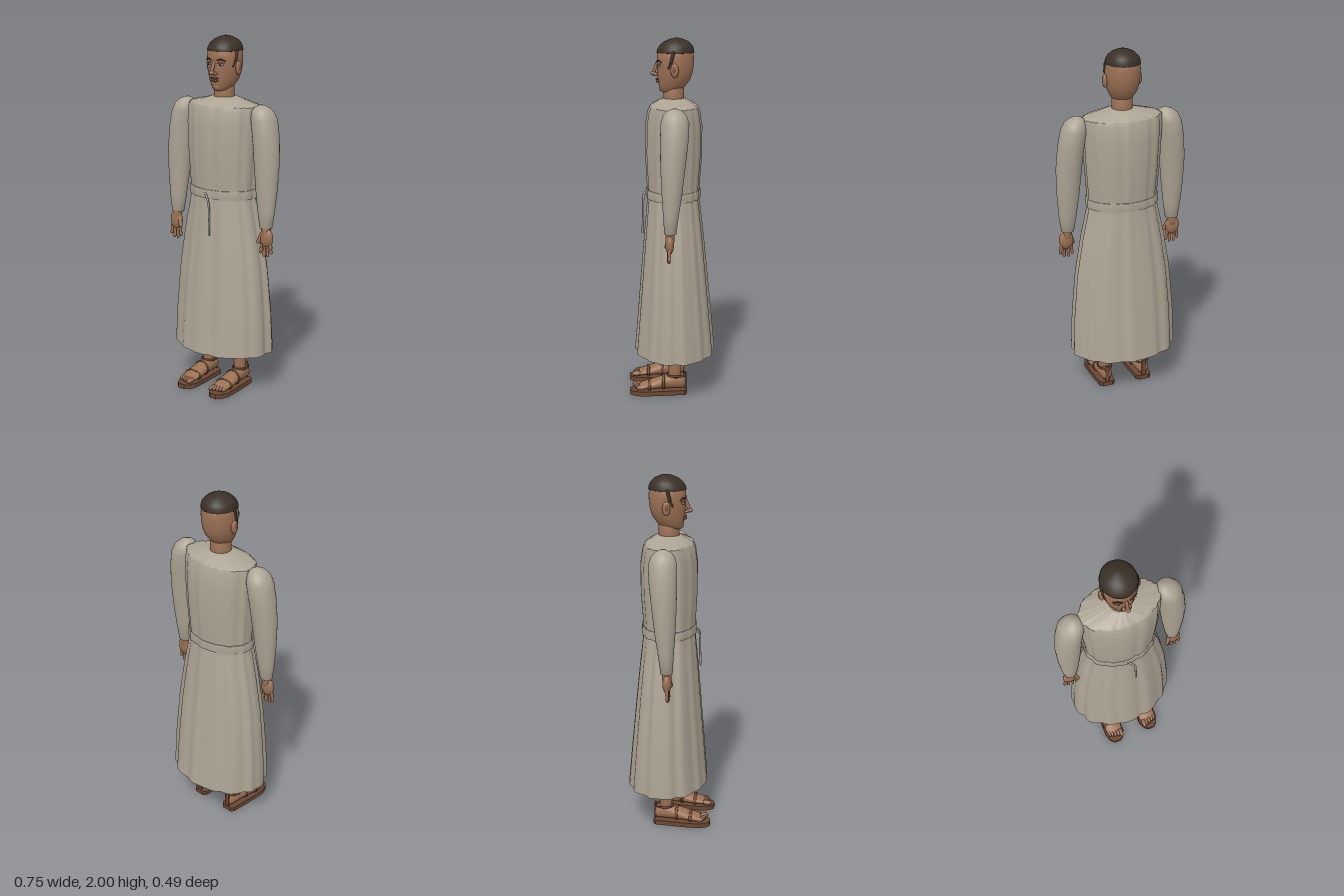
import * as THREE from 'three';

const mat = (name, color, side = THREE.FrontSide) => {
  const m = new THREE.MeshStandardMaterial({ color, side });
  m.name = name;
  return m;
};

// Surface through oval rings [y, halfWidth, zBack, zFront], with optional fold rule and end caps
function loft(rings, { seg = 32, fold = () => 1, caps = true, xs = null } = {}) {
  const pos = [], idx = [];
  rings.forEach(([y, hx, zb, zf], r) => {
    for (let i = 0; i < seg; i++) {
      const t = (i / seg) * Math.PI * 2, k = fold(t, r);
      pos.push((xs ? xs[r] : 0) + Math.sin(t) * hx * k, y, (zb + zf) / 2 + Math.cos(t) * (zf - zb) / 2 * k);
    }
  });
  for (let r = 0; r < rings.length - 1; r++) for (let i = 0; i < seg; i++) {
    const a = r * seg + i, b = r * seg + (i + 1) % seg;
    idx.push(a, b, a + seg, b, b + seg, a + seg);
  }
  if (caps) [0, rings.length - 1].forEach((r) => {
    const [y, , zb, zf] = rings[r], c = pos.length / 3;
    pos.push(xs ? xs[r] : 0, y, (zb + zf) / 2);
    for (let i = 0; i < seg; i++) {
      const a = r * seg + i, b = r * seg + (i + 1) % seg;
      idx.push(c, ...(r ? [a, b] : [b, a]));
    }
  });
  const g = new THREE.BufferGeometry();
  g.setAttribute('position', new THREE.Float32BufferAttribute(pos, 3));
  g.setIndex(idx);
  g.computeVertexNormals();
  return g;
}

function add(parent, name, geo, material, p = [0, 0, 0], s = [1, 1, 1]) {
  const m = new THREE.Mesh(geo, material);
  m.name = name;
  m.position.set(...p);
  m.scale.set(...s);
  parent.add(m);
  return m;
}

const ball = new THREE.SphereGeometry(1, 20, 14);
const blob = (parent, name, material, p, s) => add(parent, name, ball, material, p, s);

// Rounded bar between two points
function rod(parent, name, material, a, b, r) {
  const A = new THREE.Vector3(...a), B = new THREE.Vector3(...b), d = B.clone().sub(A);
  const m = add(parent, name, new THREE.CapsuleGeometry(r, d.length(), 4, 10), material);
  m.position.copy(A.add(B).multiplyScalar(0.5));
  m.quaternion.setFromUnitVectors(new THREE.Vector3(0, 1, 0), d.normalize());
  return m;
}

export function createModel() {
  const model = new THREE.Group();
  model.name = 'robedFigure';
  const cloth = mat('robe cloth', 0xada494, THREE.DoubleSide);
  const skin = mat('skin', 0x9c7054);
  const hair = mat('hair', 0x3a3027, THREE.DoubleSide);
  const leather = mat('sandal leather', 0x6a4733);
  const lip = mat('lips', 0x7c4c3d);
  const white = mat('eye white', 0xd8d0c4);
  const dark = mat('iris', 0x241a14);

  // Robe: uneven vertical folds that flatten slightly at the waist
  const folds = (t, amp) => 1 + amp * (0.6 * Math.cos(14 * t + 0.6) + 0.4 * Math.cos(9 * t + 2) + 0.25 * Math.sin(23 * t));
  add(model, 'robe', loft([
    [0.23, 0.302, -0.238, 0.21], [0.45, 0.295, -0.218, 0.192], [0.72, 0.272, -0.192, 0.17],
    [0.94, 0.235, -0.17, 0.152], [1.1, 0.201, -0.152, 0.138], [1.15, 0.197, -0.148, 0.135],
    [1.2, 0.2, -0.152, 0.14], [1.36, 0.212, -0.163, 0.148], [1.52, 0.22, -0.164, 0.147],
    [1.6, 0.223, -0.152, 0.135], [1.63, 0.22, -0.14, 0.122],
  ], { seg: 120, caps: false, fold: (t, r) => folds(t, r < 4 ? 0.03 : 0.022) }), cloth);

  // Pleated yoke over the shoulders up to the neck
  add(model, 'yoke', loft([
    [1.628, 0.221, -0.141, 0.123], [1.638, 0.205, -0.132, 0.113], [1.655, 0.13, -0.105, 0.085],
    [1.67, 0.075, -0.08, 0.062], [1.672, 0.056, -0.066, 0.05],
  ], { seg: 120, caps: false, fold: (t, r) => folds(t, 0.022) + 0.012 * Math.cos(28 * t) }), cloth);

  // Belt with its hanging cord
  add(model, 'belt', loft([
    [1.12, 0.2, -0.152, 0.138], [1.121, 0.206, -0.157, 0.144],
    [1.169, 0.206, -0.157, 0.144], [1.17, 0.199, -0.152, 0.138],
  ], { seg: 120, caps: false, fold: (t) => folds(t, 0.02) }), cloth);
  const cord = new THREE.CatmullRomCurve3([
    [-0.015, 1.15, 0.142], [0.005, 1.135, 0.158], [0.022, 1.1, 0.162], [0.027, 1.02, 0.163], [0.028, 0.92, 0.167],
  ].map((p) => new THREE.Vector3(...p)));
  add(model, 'beltCord', new THREE.TubeGeometry(cord, 24, 0.006, 8), cloth);

  // Neck and head
  add(model, 'neck', loft([[1.58, 0.062, -0.07, 0.055], [1.68, 0.056, -0.065, 0.048], [1.79, 0.056, -0.065, 0.048]]), skin);
  add(model, 'head', loft([
    [1.703, 0.02, 0.01, 0.05], [1.712, 0.044, -0.04, 0.064], [1.735, 0.062, -0.07, 0.071],
    [1.77, 0.08, -0.097, 0.077], [1.81, 0.09, -0.112, 0.081], [1.85, 0.095, -0.118, 0.083],
    [1.89, 0.096, -0.119, 0.083], [1.925, 0.092, -0.116, 0.08], [1.96, 0.075, -0.1, 0.058], [1.985, 0.03, -0.05, 0.01],
  ], { seg: 40 }), skin);
  add(model, 'hairCap', loft([
    [1.92, 0.093, -0.117, 0.081], [1.921, 0.096, -0.121, 0.085], [1.94, 0.093, -0.119, 0.08],
    [1.96, 0.083, -0.11, 0.067], [1.98, 0.062, -0.089, 0.043], [1.993, 0.036, -0.062, 0.014], [2, 0.008, -0.034, -0.018],
  ], { seg: 40 }), hair);
  rod(model, 'noseBridge', skin, [0, 1.868, 0.08], [0, 1.818, 0.1], 0.009);
  blob(model, 'noseTip', skin, [0, 1.808, 0.101], [0.015, 0.013, 0.018]);
  blob(model, 'upperLip', lip, [0, 1.777, 0.078], [0.028, 0.006, 0.012]);
  blob(model, 'lowerLip', lip, [0, 1.764, 0.077], [0.025, 0.007, 0.012]);
  blob(model, 'chin', skin, [0, 1.727, 0.056], [0.026, 0.018, 0.016]);

  for (const s of [-1, 1]) {
    // Facial features and ears
    blob(model, 'nostril', skin, [s * 0.016, 1.804, 0.09], [0.011, 0.009, 0.012]);
    blob(model, 'eye', white, [s * 0.04, 1.852, 0.072], [0.017, 0.006, 0.007]);
    blob(model, 'iris', dark, [s * 0.04, 1.852, 0.077], [0.006, 0.006, 0.004]);
    rod(model, 'upperEyelid', skin, [s * 0.024, 1.859, 0.078], [s * 0.056, 1.859, 0.068], 0.004);
    rod(model, 'eyebrow', hair, [s * 0.022, 1.874, 0.081], [s * 0.042, 1.881, 0.075], 0.004);
    rod(model, 'eyebrow', hair, [s * 0.042, 1.881, 0.075], [s * 0.062, 1.872, 0.064], 0.004);
    blob(model, 'ear', skin, [s * 0.098, 1.83, -0.01], [0.013, 0.038, 0.022]);
    blob(model, 'earHollow', lip, [s * 0.106, 1.834, -0.007], [0.006, 0.022, 0.011]);
    rod(model, 'sideburn', hair, [s * 0.091, 1.925, -0.004], [s * 0.091, 1.875, 0.008], 0.009);
    rod(model, 'sideburn', hair, [s * 0.091, 1.875, 0.008], [s * 0.084, 1.842, 0.022], 0.006);

    // Sleeve
    add(model, 'sleeve', loft([
      [0.98, 0.036, -0.01, 0.055], [1.07, 0.05, -0.022, 0.06], [1.2, 0.063, -0.042, 0.069], [1.35, 0.072, -0.06, 0.075],
      [1.48, 0.073, -0.075, 0.075], [1.57, 0.071, -0.08, 0.073], [1.61, 0.06, -0.066, 0.06],
      [1.632, 0.042, -0.045, 0.04], [1.645, 0.015, -0.02, 0.012],
    ], { xs: [0.31, 0.309, 0.306, 0.301, 0.289, 0.274, 0.265, 0.258, 0.253].map((x) => x * s) }), cloth);

    // Hand
    const hand = new THREE.Group();
    hand.name = s > 0 ? 'leftHand' : 'rightHand';
    model.add(hand);
    rod(hand, 'wrist', skin, [s * 0.31, 1.02, 0.023], [s * 0.313, 0.95, 0.024], 0.026);
    blob(hand, 'palm', skin, [s * 0.318, 0.925, 0.026], [0.041, 0.055, 0.024]);
    [[0.292, 0.283, 0.84], [0.31, 0.305, 0.825], [0.328, 0.33, 0.827], [0.344, 0.352, 0.845]].forEach(([x0, x1, y]) => {
      rod(hand, 'finger', skin, [s * x0, 0.9, 0.027], [s * (x0 + x1) / 2, 0.872, 0.03], 0.01);
      rod(hand, 'fingerTip', skin, [s * (x0 + x1) / 2, 0.872, 0.03], [s * x1, y, 0.031], 0.0085);
    });
    rod(hand, 'thumb', skin, [s * 0.29, 0.945, 0.032], [s * 0.275, 0.9, 0.042], 0.011);

    // Leg and foot
    const leg = new THREE.Group();
    leg.name = s > 0 ? 'leftLeg' : 'rightLeg';
    leg.position.x = s * 0.113;
    model.add(leg);
    add(leg, 'shin', loft([
      [0.07, 0.035, -0.05, 0.022], [0.13, 0.034, -0.046, 0.025], [0.24, 0.043, -0.053, 0.033],
      [0.45, 0.055, -0.07, 0.042], [0.75, 0.06, -0.065, 0.055],
    ]), skin);
    // Sections run from heel to toe as [z, halfWidth, -top, -bottom]
    add(leg, 'foot', loft([
      [-0.072, 0.015, -0.085, -0.04], [-0.058, 0.034, -0.112, -0.03], [-0.01, 0.039, -0.12, -0.029],
      [0.04, 0.043, -0.109, -0.029], [0.12, 0.052, -0.08, -0.029], [0.175, 0.05, -0.062, -0.029], [0.2, 0.042, -0.05, -0.031],
    ]).rotateX(Math.PI / 2), skin);
    [-0.037, -0.021, -0.003, 0.016, 0.034].forEach((x, i) =>
      blob(leg, 'toe', skin, [-s * x, 0.043, 0.2 - 0.006 * (4 - i) + 0.003], [i === 4 ? 0.013 : 0.01, 0.014, 0.031]));

    // Sandal sole and straps
    const outline = new THREE.Shape([
      [-0.045, -0.065], [-0.03, -0.08], [0.03, -0.08], [0.045, -0.065], [0.057, 0.1], [0.057, 0.19],
      [0.04, 0.228], [0.018, 0.245], [-0.022, 0.245], [-0.043, 0.225], [-0.06, 0.18], [-0.057, 0.08],
    ].map(([x, y]) => new THREE.Vector2(-s * x, y)));
    add(leg, 'sole', new THREE.ExtrudeGeometry(outline, { depth: 0.026, bevelEnabled: false }).rotateX(Math.PI / 2), leather, [0, 0.026, 0]);
    const ring = new THREE.TorusGeometry(1, 0.08, 8, 32);
    [[0.135, 0.053, 0.05, 0.028], [0.055, 0.046, 0.066, 0.041]].forEach(([z, hw, y, hh]) =>
      add(leg, 'footStrap', ring, leather, [0, y, z], [hw, hh, 0.1]));
    add(leg, 'ankleStrap', ring, leather, [0, 0.108, -0.018], [0.041, 0.052, 0.08]).rotation.x = Math.PI / 2;
    add(leg, 'heelStrap', new THREE.BoxGeometry(0.024, 0.1, 0.008), leather, [0, 0.073, -0.072]);
  }
  return model;
}
